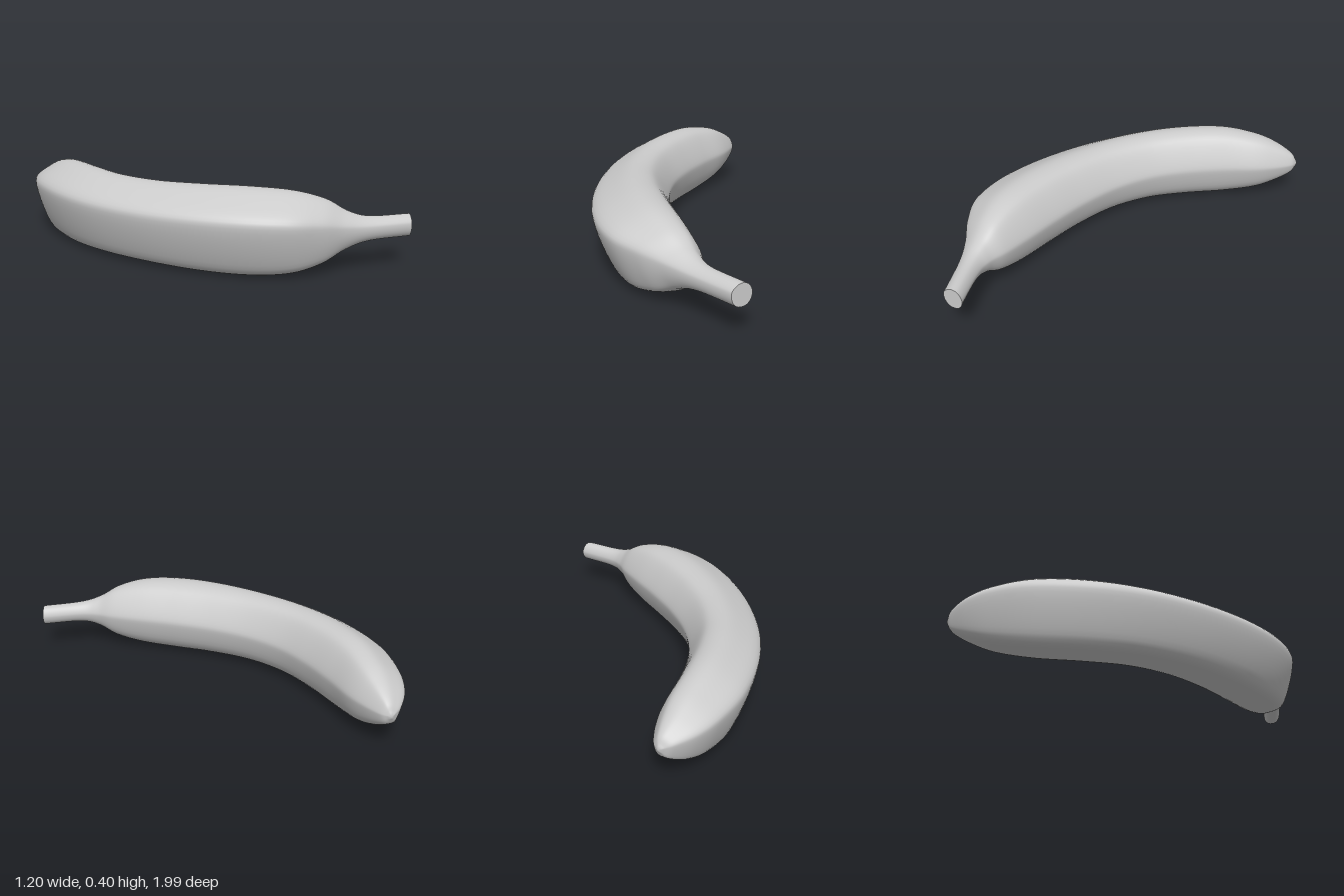
import * as THREE from 'three';

// Stations from tip to stem: outer x, outer z, inner x, inner z, half height
const STATIONS = [
  [-0.255, -1.0, -0.23, -0.99, 0.015],
  [-0.31, -0.985, -0.21, -0.95, 0.06],
  [-0.4, -0.92, -0.2, -0.85, 0.115],
  [-0.48, -0.81, -0.205, -0.74, 0.16],
  [-0.56, -0.62, -0.235, -0.57, 0.193],
  [-0.6, -0.35, -0.255, -0.36, 0.198],
  [-0.585, -0.07, -0.245, -0.16, 0.193],
  [-0.51, 0.22, -0.185, 0.04, 0.192],
  [-0.39, 0.48, -0.08, 0.23, 0.198],
  [-0.25, 0.68, 0.05, 0.405, 0.2],
  [-0.1, 0.81, 0.18, 0.56, 0.187],
  [0.05, 0.86, 0.28, 0.685, 0.148],
  [0.19, 0.88, 0.335, 0.77, 0.09],
  [0.33, 0.915, 0.41, 0.83, 0.058],
  [0.54, 0.99, 0.6, 0.91, 0.053],
];

// Ridged cross-section: u runs from outer (-1) to inner (1), v is up
const SECTION = [
  [-1, 0.2], [-0.95, 0.52], [-0.5, 0.8], [0, 1], [0.45, 0.95], [0.72, 0.7], [0.98, 0.2],
  [1, -0.1], [0.8, -0.65], [0.45, -0.95], [0, -1], [-0.5, -0.92], [-0.77, -0.5],
];

const ROWS = 112;
const SIDES = 52;
const MID_Y = 0.205;

const curve = (points, closed = false) =>
  new THREE.CatmullRomCurve3(points.map((p) => new THREE.Vector3(...p)), closed, 'catmullrom', 0.5);

function makeGeometry(points, index) {
  const geometry = new THREE.BufferGeometry().setFromPoints(points);
  geometry.setIndex(index);
  geometry.computeVertexNormals();
  return geometry;
}

export function createModel() {
  const group = new THREE.Group();
  group.name = 'banana';
  const material = new THREE.MeshStandardMaterial({ color: 0xcccccc });

  const outer = curve(STATIONS.map(([x, z, , , h]) => [x, h, z]));
  const inner = curve(STATIONS.map(([, , x, z, h]) => [x, h, z]));
  const section = curve(SECTION.map(([u, v]) => [u, v, 0]), true);

  // One loop of points across the fruit, turning round towards the stem
  const ring = (t) => {
    const a = outer.getPoint(t);
    const b = inner.getPoint(t);
    const round = 0.7 * THREE.MathUtils.smoothstep(t, 0.72, 0.95);
    return Array.from({ length: SIDES }, (_, j) => {
      const p = section.getPoint(j / SIDES);
      const angle = Math.atan2(p.y, p.x);
      const u = THREE.MathUtils.lerp(p.x, Math.cos(angle), round);
      const v = THREE.MathUtils.lerp(p.y, Math.sin(angle), round);
      const point = a.clone().lerp(b, (u + 1) / 2);
      point.y = MID_Y + v * a.y;
      return point;
    });
  };

  // Body and stem skin, closed at the tip
  const points = [];
  const index = [];
  for (let i = 0; i <= ROWS; i++) points.push(...ring(i / ROWS));
  const tip = points.length;
  points.push(new THREE.Vector3(-0.238, MID_Y, -1.0));
  for (let j = 0; j < SIDES; j++) {
    const k = (j + 1) % SIDES;
    index.push(tip, j, k);
    for (let i = 0; i < ROWS; i++) {
      const a = i * SIDES;
      const b = a + SIDES;
      index.push(a + j, b + j, a + k, b + j, b + k, a + k);
    }
  }
  const peel = new THREE.Mesh(makeGeometry(points, index), material);
  peel.name = 'peel';

  // Flat cut end of the stem
  const capPoints = ring(1);
  const capIndex = [];
  const centre = outer.getPoint(1).lerp(inner.getPoint(1), 0.5).setY(MID_Y);
  capPoints.push(centre);
  for (let j = 0; j < SIDES; j++) capIndex.push(SIDES, (j + 1) % SIDES, j);
  const stemEnd = new THREE.Mesh(makeGeometry(capPoints, capIndex), material);
  stemEnd.name = 'stemEnd';

  group.add(peel, stemEnd);
  return group;
}
